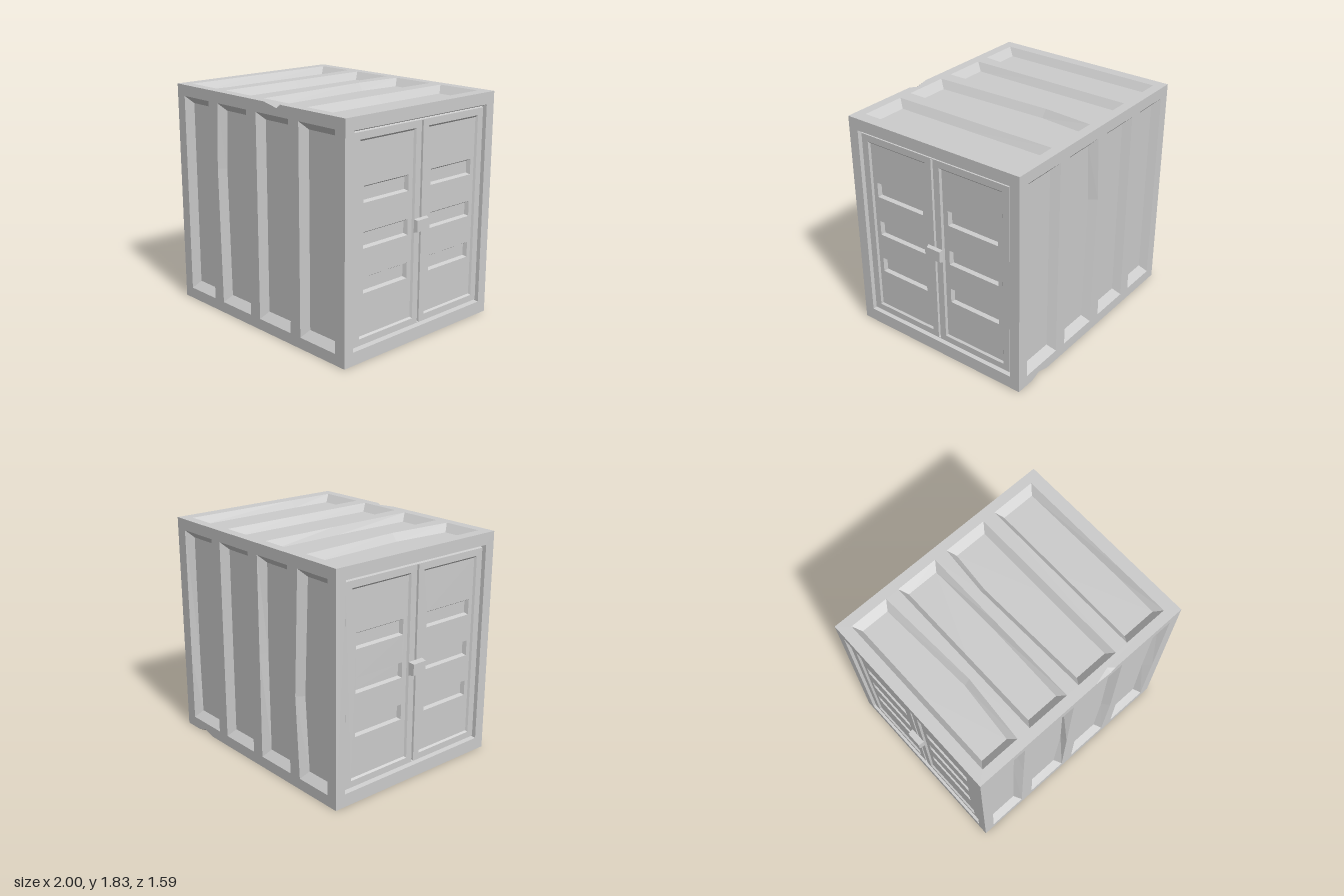
import * as THREE from 'three';
import { mergeGeometries } from 'three/addons/utils/BufferGeometryUtils.js';

const LEFT = -0.972, RIGHT = 0.99, HALF_H = 0.915, HALF_D = 0.796;
const material = new THREE.MeshStandardMaterial({ color: 0xcccccc, flatShading: true });

const rect = (l, r, b, t) => [[l, b], [r, b], [r, t], [l, t]];

// Non-indexed geometry from a list of triangle corners
function triangles(corners) {
  const g = new THREE.BufferGeometry();
  g.setAttribute('position', new THREE.Float32BufferAttribute(corners.flat(), 3));
  g.computeVertexNormals();
  return g;
}

// Flat plate at height w, with polygon holes
function plate(outline, holes = [], w = 0) {
  const toVec = (pts) => pts.map(([x, y]) => new THREE.Vector2(x, y));
  const shape = new THREE.Shape(toVec(outline));
  for (const h of holes) shape.holes.push(new THREE.Path(toVec(h)));
  const g = new THREE.ShapeGeometry(shape).toNonIndexed();
  g.deleteAttribute('uv');
  return g.translate(0, 0, w);
}

// Sloping walls from an outer loop at w0 to an inner loop at w1
function walls(outer, inner, w0, w1) {
  const c = [];
  outer.forEach((o, i) => {
    const j = (i + 1) % outer.length;
    const a = [...o, w0], b = [...outer[j], w0];
    const d = [...inner[i], w1], e = [...inner[j], w1];
    c.push(a, b, e, a, e, d);
  });
  return triangles(c);
}

// Panel loop whose left and right edges may be bent at one point each
function bentLoop(p, h, ix, iy) {
  const { l, r, dl = 0, dr = 0, lv = 0, rv = 0, innerR = 0 } = p;
  const a = l + ix, b = r - ix, t = h - iy;
  const bend = ix > 0 ? innerR : 0;
  return [[a, -t], [b, -t], [b + dr + bend, rv], [b, t], [a, t], [a + dl, lv]];
}

// Ribbed wall: frame plate with four sunken panels
function ribbedWall(name, outline, panels, h) {
  const outers = panels.map((p) => bentLoop(p, h, 0, 0));
  const parts = [plate(outline, outers)];
  panels.forEach((p, i) => {
    const inner = bentLoop(p, h, 0.045, 0.06);
    parts.push(walls(outers[i], inner, 0, -0.06), plate(inner, [], -0.06));
  });
  return named(name, mergeGeometries(parts));
}

function named(name, geometry) {
  const m = new THREE.Mesh(geometry, material);
  m.name = name;
  return m;
}

// Wall outlines with a chip [start, apex, end] in the top or bottom edge
const chippedTop = (h, [a, m, b]) =>
  [[LEFT, -h], [RIGHT, -h], [RIGHT, h], [b, h], [m, h - 0.03], [a, h], [LEFT, h]];
const chippedBottom = (h, [a, m, b]) =>
  [[LEFT, -h], [a, -h], [m, -h + 0.04], [b, -h], [RIGHT, -h], [RIGHT, h], [LEFT, h]];

// Broken surface inside an edge chip
function chip([a, m, b]) {
  const A = [a, HALF_H, HALF_D], B = [b, HALF_H, HALF_D];
  const F = [m, HALF_H - 0.03, HALF_D], T = [m, HALF_H, HALF_D - 0.04];
  return named('edgeChip', triangles([A, F, T, F, B, T]));
}

// Four panel spans, each with optional dents
const spans = [[-0.88, -0.555], [-0.44, -0.082], [0.032, 0.4], [0.512, 0.89]];
const panelSet = (dents = []) => spans.map(([l, r], i) => ({ l, r, ...dents[i] }));

// Double-door end: grooved door edges, sunken fields, slots and a latch
function doorEnd(name, latchReach) {
  const group = new THREE.Group();
  group.name = name;
  const opening = rect(-0.71, 0.71, -0.81, 0.82);
  const groove = rect(-0.702, 0.702, -0.802, 0.802);
  const doorEdge = rect(-0.692, 0.692, -0.79, 0.797);
  const DOOR = -0.02, FIELD = -0.035, SLOT = -0.065, GROOVE = -0.045;
  group.add(named('doorFrame', mergeGeometries([
    plate(rect(-HALF_D, HALF_D, -HALF_H, HALF_H), [opening]),
    walls(opening, groove, 0, GROOVE),
  ])));

  // Seam between the doors
  const seam = rect(-0.01, 0.01, -0.785, 0.792);
  const seamFloor = rect(-0.004, 0.004, -0.78, 0.787);
  const doors = [
    walls(groove, doorEdge, GROOVE, DOOR),
    walls(seam, seamFloor, DOOR, GROOVE),
    plate(seamFloor, [], GROOVE),
  ];
  const fields = [];
  for (const [l, r] of [[-0.633, -0.066], [0.066, 0.633]]) {
    const field = rect(l, r, -0.737, 0.743);
    const floor = rect(l + 0.012, r - 0.012, -0.725, 0.728);
    const a = l < 0 ? -0.582 : 0.122, b = a + 0.46;
    const slots = [];
    for (const y of [-0.338, 0.003, 0.342]) {
      const slot = rect(a, b, y - 0.062, y + 0.062);
      const base = rect(a + 0.014, b - 0.014, y - 0.05, y + 0.045);
      slots.push(slot);
      doors.push(walls(slot, base, FIELD, SLOT), plate(base, [], SLOT));
    }
    fields.push(field);
    doors.push(walls(field, floor, DOOR, FIELD), plate(floor, slots, FIELD));
  }
  doors.push(plate(doorEdge, [seam, ...fields], DOOR));
  group.add(named('doors', mergeGeometries(doors)));

  // Tapered latch block
  const base = rect(-0.07, 0.07, -0.05, 0.056);
  const face = rect(-0.063, 0.063, -0.043, 0.048);
  group.add(named('latch', mergeGeometries([
    walls(base, face, DOOR, latchReach), plate(face, [], latchReach),
  ])));
  return group;
}

export function createModel() {
  const root = new THREE.Group();
  root.name = 'cargoContainer';
  const body = new THREE.Group();
  body.name = 'body';
  body.position.y = HALF_H;
  root.add(body);

  const frontChip = [0.13, 0.275, 0.32], backChip = [0.63, 0.74, 0.82];

  // Long walls, roof and floor
  const front = ribbedWall('frontWall', chippedTop(HALF_H, frontChip), panelSet([
    { innerR: -0.005, rv: 0.2 },
    { dl: -0.022, lv: 0.3, innerR: 0.035, rv: -0.09 },
    { dr: 0.022, rv: -0.2 },
    { innerR: -0.01, rv: -0.1 },
  ]), 0.825);
  front.position.z = HALF_D;

  const roofDents = (s) => panelSet([
    { dr: 0.042, rv: -0.16 * s },
    { innerR: 0.012, rv: 0.05 * s },
    { dl: -0.03, lv: 0.3 * s },
    { innerR: 0.008, rv: -0.3 * s },
  ]);
  const roof = ribbedWall('roof', chippedBottom(HALF_D, frontChip), roofDents(1), 0.715);
  roof.rotation.x = -Math.PI / 2;
  roof.position.y = HALF_H;

  const back = ribbedWall('backWall', chippedTop(HALF_H, backChip), roofDents(-1), 0.825);
  back.rotation.x = Math.PI;
  back.position.z = -HALF_D;

  const floor = ribbedWall('floor', chippedBottom(HALF_D, backChip), panelSet(), 0.715);
  floor.rotation.x = Math.PI / 2;
  floor.position.y = -HALF_H;

  // Chipped edges
  const lowerChip = chip(backChip);
  lowerChip.rotation.x = Math.PI;
  body.add(front, roof, back, floor, chip(frontChip), lowerChip);

  // Door ends
  const leftEnd = doorEnd('leftDoorEnd', 1 - RIGHT);
  leftEnd.rotation.y = Math.PI / 2;
  leftEnd.position.x = RIGHT;
  const rightEnd = doorEnd('rightDoorEnd', 1 + LEFT);
  rightEnd.rotation.y = -Math.PI / 2;
  rightEnd.position.x = LEFT;
  body.add(leftEnd, rightEnd);
  return root;
}
